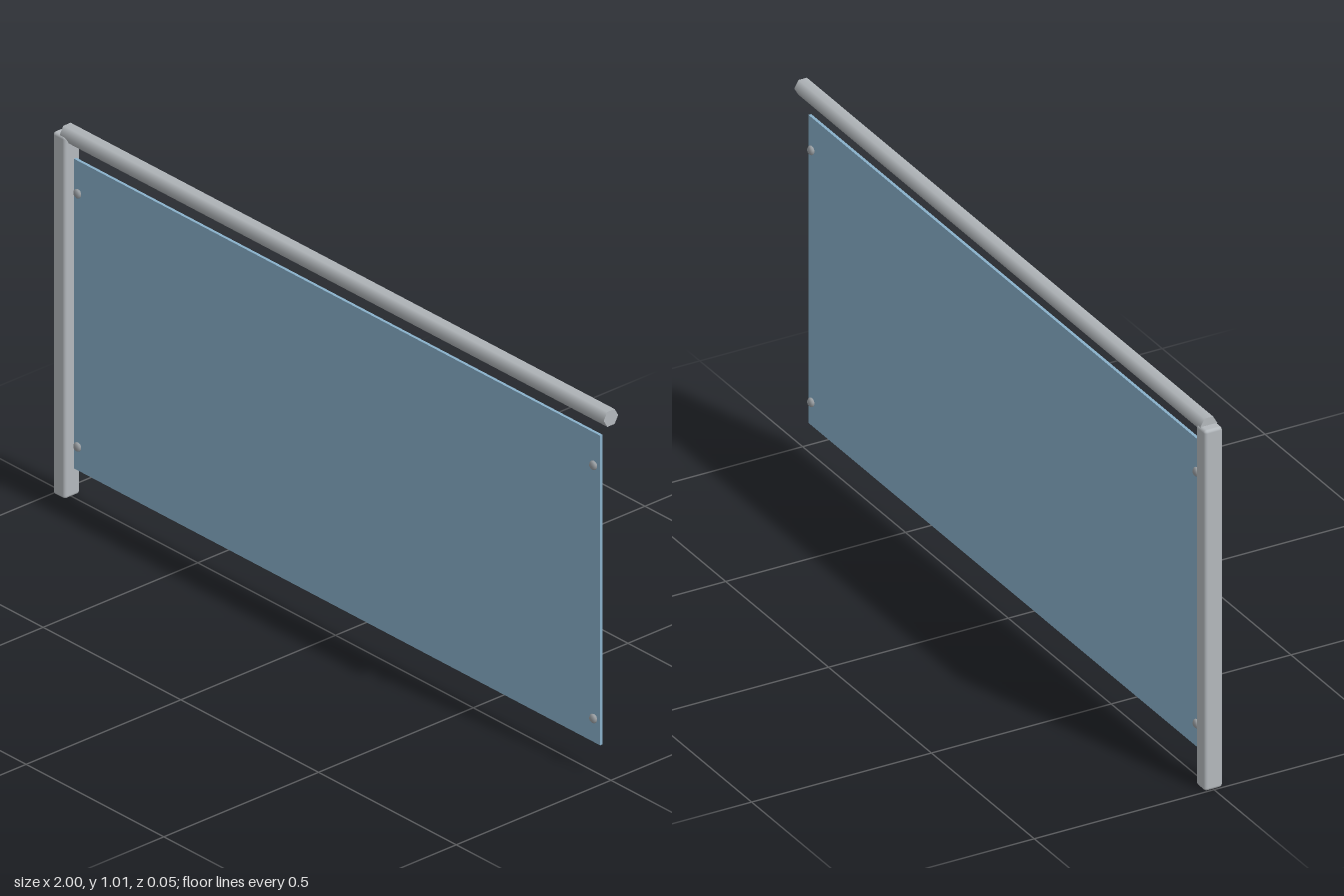
import * as THREE from 'three';
import { RoundedBoxGeometry } from 'three/addons/geometries/RoundedBoxGeometry.js';

export function createModel() {
  const model = new THREE.Group();
  model.name = 'glassRailing';

  const material = (name, color) => new THREE.MeshStandardMaterial({ name, color });
  const steel = material('brushedSteel', 0xb4b9bd);
  const glass = material('blueGlass', 0x88b0ca);
  const fitting = material('fittingSteel', 0x9a9fa3);

  function add(name, geometry, mat, x, y, z) {
    const mesh = new THREE.Mesh(geometry, mat);
    mesh.name = name;
    mesh.position.set(x, y, z);
    model.add(mesh);
    return mesh;
  }

  // Upright with softened edges at the right end
  add('post', new RoundedBoxGeometry(0.045, 0.99, 0.05, 2, 0.008), steel, -0.9775, 0.495, 0);

  // Six-sided handrail, flat on top and bottom, resting in the post
  const railGeometry = new THREE.CylinderGeometry(0.0235, 0.0235, 1.975, 6);
  railGeometry.rotateZ(Math.PI / 2);
  add('handrail', railGeometry, steel, 0.0125, 0.99, 0);

  // Infill panel
  add('glassPanel', new THREE.BoxGeometry(1.91, 0.846, 0.008), glass, 0.01, 0.506, 0);

  // Domed clamp buttons on both faces at each corner
  const profile = [[0.009, 0], [0.012, 0.003], [0.012, 0.007], [0.008, 0.011], [0, 0.0115]]
    .map(([r, h]) => new THREE.Vector2(r, h));
  const buttonGeometry = new THREE.LatheGeometry(profile, 10);
  buttonGeometry.rotateX(Math.PI / 2);
  for (const x of [-0.928, 0.945]) {
    for (const y of [0.15, 0.842]) {
      for (const side of [1, -1]) {
        const button = add('glassFitting', buttonGeometry, fitting, x, y, side * 0.0035);
        if (side < 0) button.rotation.y = Math.PI;
      }
    }
  }

  return model;
}
